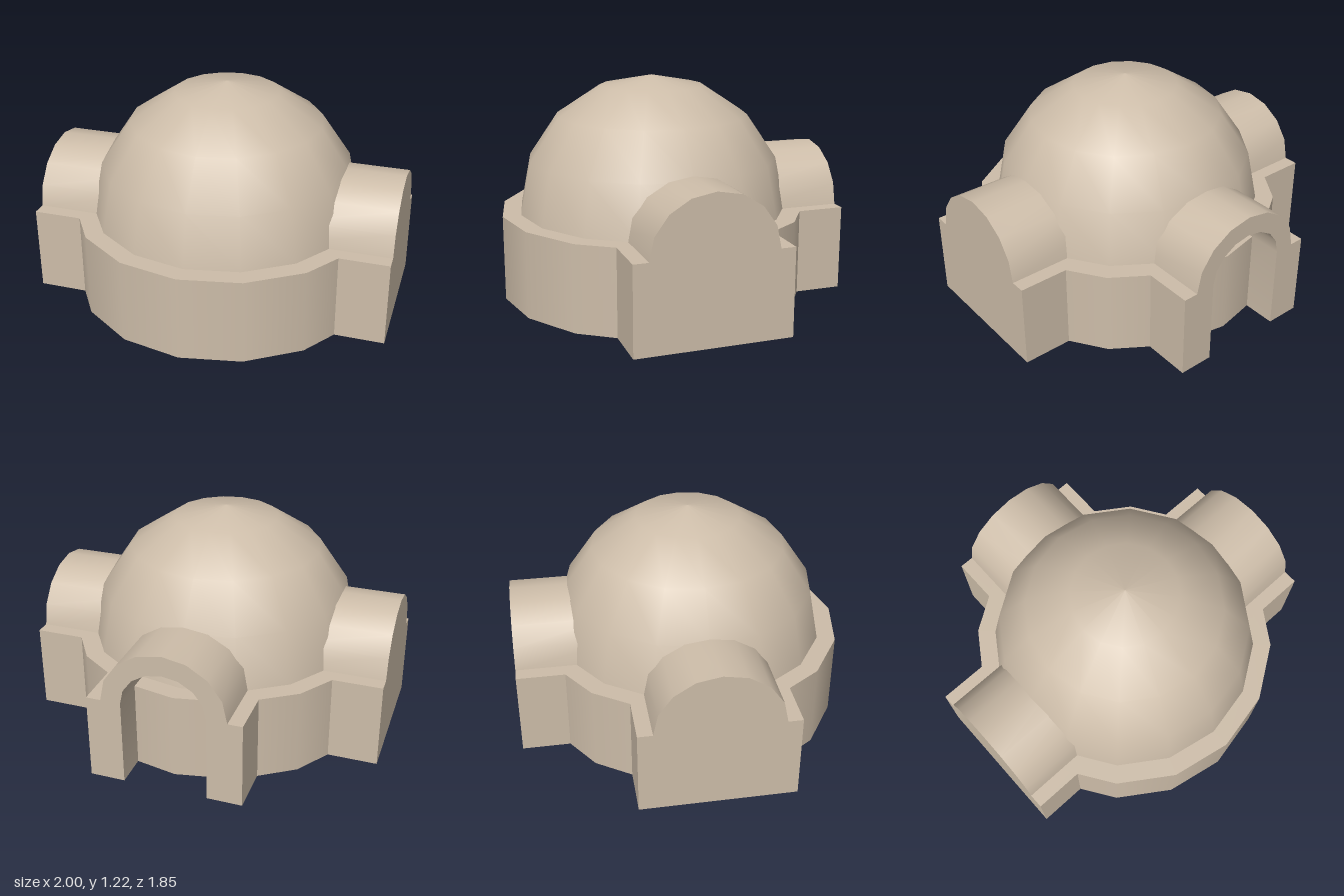
import * as THREE from 'three';
import { toCreasedNormals } from 'three/addons/utils/BufferGeometryUtils.js';

const CENTRE_Z = 0.068;   // axis of the dome
const WALL_TOP = 0.475;   // height of the drum and of the arm walls
const SIDES = 16;

const plaster = new THREE.MeshStandardMaterial({ color: 0xcdbda9, side: THREE.DoubleSide });
plaster.name = 'sandy plaster';

function add(parent, name, geometry) {
  const mesh = new THREE.Mesh(geometry, plaster);
  mesh.name = name;
  parent.add(mesh);
  return mesh;
}

// Half ellipse of eight segments standing on the wall height, from +x over to -x
function arch(rx, ry) {
  return Array.from({ length: 9 }, (_, i) => {
    const a = (i / 8) * Math.PI;
    return new THREE.Vector2(rx * Math.cos(a), WALL_TOP + ry * Math.sin(a));
  });
}

// Open sheet that sweeps a profile along z; curved runs smooth, corners sharp
function sweep(profile, z0, z1) {
  const pos = [];
  for (let i = 0; i < profile.length - 1; i++) {
    const a = profile[i], b = profile[i + 1];
    pos.push(a.x, a.y, z1, a.x, a.y, z0, b.x, b.y, z0);
    pos.push(a.x, a.y, z1, b.x, b.y, z0, b.x, b.y, z1);
  }
  const g = new THREE.BufferGeometry();
  g.setAttribute('position', new THREE.Float32BufferAttribute(pos, 3));
  return toCreasedNormals(g, 0.6);
}

// Vaulted arm pointing along its own +z, with a blank or a doorway end
function vaultedArm(name, inner, outer, doorway) {
  const arm = new THREE.Group();
  arm.name = name;
  const v = (x, y) => new THREE.Vector2(x, y);
  const outline = [v(0.42, 0), v(0.42, WALL_TOP), ...arch(0.34, 0.315),
    v(-0.42, WALL_TOP), v(-0.42, 0)];
  add(arm, 'armWallsAndVault', sweep(outline, inner, outer));

  let end = outline;
  if (doorway) {
    const opening = [v(0.23, 0), ...arch(0.23, 0.205), v(-0.23, 0)];
    // reversed so the passage faces inward
    add(arm, 'doorPassage', sweep([...opening].reverse(), inner, outer));
    end = [...outline, ...opening.reverse()];
  }
  const face = add(arm, doorway ? 'doorFrame' : 'endWall',
    new THREE.ShapeGeometry(new THREE.Shape(end)));
  face.position.z = outer;
  return arm;
}

export function createModel() {
  const model = new THREE.Group();
  model.name = 'domedHall';
  const hall = new THREE.Group();
  hall.name = 'hall';
  hall.position.z = CENTRE_Z;
  model.add(hall);

  // Faceted-outline dome
  const rib = Array.from({ length: 5 }, (_, i) => {
    const a = (i / 4) * Math.PI / 2;
    return new THREE.Vector2(i === 4 ? 0 : 0.755 * Math.cos(a), WALL_TOP + 0.745 * Math.sin(a));
  });
  add(hall, 'dome', new THREE.LatheGeometry(rib, SIDES));

  // Drum and the ledge around the dome
  add(hall, 'drum', new THREE.CylinderGeometry(0.857, 0.857, WALL_TOP, SIDES, 1, true))
    .position.y = WALL_TOP / 2;
  const ledge = add(hall, 'ledge', new THREE.RingGeometry(0.755, 0.857, SIDES));
  ledge.rotation.x = -Math.PI / 2;
  ledge.position.y = WALL_TOP;

  // Two blank side arms and the entrance at the back
  for (const side of [1, -1]) {
    const arm = vaultedArm(side > 0 ? 'leftArm' : 'rightArm', 0.43, 1, false);
    arm.rotation.y = side * Math.PI / 2;
    hall.add(arm);
  }
  const entrance = vaultedArm('entranceArm', 0.43, 0.925 + CENTRE_Z, true);
  entrance.rotation.y = Math.PI;
  hall.add(entrance);

  return model;
}
